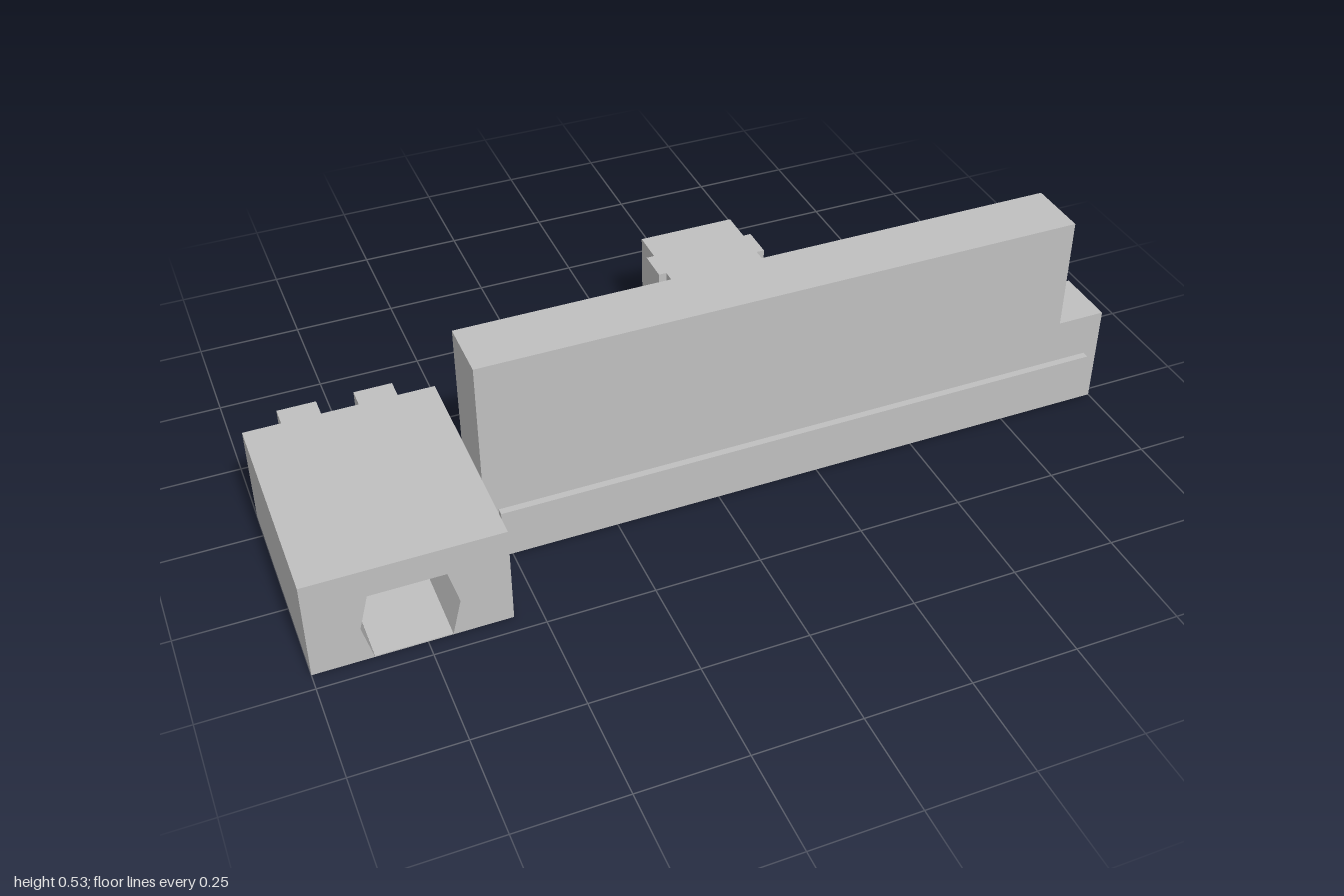
import * as THREE from 'three';

const grey = new THREE.MeshStandardMaterial({ color: 0xbfbfbf });
grey.name = 'plain grey';

// Box given by its minimum and maximum on each axis
function box(parent, name, x0, x1, y0, y1, z0, z1) {
  const mesh = new THREE.Mesh(new THREE.BoxGeometry(x1 - x0, y1 - y0, z1 - z0), grey);
  mesh.position.set((x0 + x1) / 2, (y0 + y1) / 2, (z0 + z1) / 2);
  mesh.name = name;
  parent.add(mesh);
  return mesh;
}

// Block with a six-sided tunnel along z, open at the bottom of its profile and closed by a thin floor
function tunnelBlock(parent, name, x, halfWidth, height, z0, z1) {
  const outline = [
    [-halfWidth, 0], [-0.085, 0], [-0.107, 0.09], [-0.085, 0.175],
    [0.085, 0.175], [0.107, 0.09], [0.085, 0], [halfWidth, 0],
    [halfWidth, height], [-halfWidth, height],
  ].map(([px, py]) => new THREE.Vector2(px, py));
  const geometry = new THREE.ExtrudeGeometry(new THREE.Shape(outline), {
    depth: z1 - z0, bevelEnabled: false,
  });
  const mesh = new THREE.Mesh(geometry, grey);
  mesh.position.set(x, 0, z0);
  mesh.name = name;
  parent.add(mesh);
  box(parent, name + 'Floor', x - 0.085, x + 0.085, 0, 0.003, z0, z1);
}

export function createModel() {
  const model = new THREE.Group();
  model.name = 'building';

  // Tall stepped slab, extruded as one profile
  const slab = new THREE.Shape([
    [-0.557, 0], [1, 0], [1, 0.249], [0.882, 0.249], [0.882, 0.53], [-0.557, 0.53],
  ].map(([x, y]) => new THREE.Vector2(x, y)));
  const wall = new THREE.Mesh(
    new THREE.ExtrudeGeometry(slab, { depth: 0.147, bevelEnabled: false }), grey);
  wall.position.z = 0.123;
  wall.name = 'mainSlab';
  model.add(wall);
  box(model, 'frontLedge', -0.525, 0.965, 0.098, 0.139, 0.265, 0.287);

  // Side block with an opening at the front and two buttresses behind
  const sideBlock = new THREE.Group();
  sideBlock.name = 'sideBlock';
  model.add(sideBlock);
  tunnelBlock(sideBlock, 'sideBlockShell', -0.78, 0.22, 0.245, -0.062, 0.459);
  box(sideBlock, 'sideBlockBackWall', -1, -0.56, 0, 0.245, -0.071, -0.062);
  for (const x of [-0.868, -0.692]) {
    box(sideBlock, 'backButtress', x - 0.045, x + 0.045, 0.065, 0.245, -0.119, -0.06);
  }

  // Rear wing with an opening at its far end
  const wing = new THREE.Group();
  wing.name = 'rearWing';
  model.add(wing);
  const cx = 0.224;
  tunnelBlock(wing, 'rearWingShell', cx, 0.123, 0.244, -0.459, 0.123);
  for (const side of [-1, 1]) {
    const panel = (name, out, y0, y1, z0, z1) => {
      const a = cx + side * 0.119, b = cx + side * out;
      box(wing, name, Math.min(a, b), Math.max(a, b), y0, y1, z0, z1);
    };
    // Three tall buttresses
    for (let i = 0; i < 3; i++) {
      const z = -0.167 * i;
      panel('wingButtress', 0.143, 0.065, 0.244, z - 0.041, z + 0.041);
    }
    // Row of seven low blocks
    for (let i = 0; i < 7; i++) {
      const z = 0.083 - 0.0833 * i;
      panel('wingBaseBlock', 0.132, 0.008, 0.058, z - 0.036, z + 0.036);
    }
  }
  return model;
}
